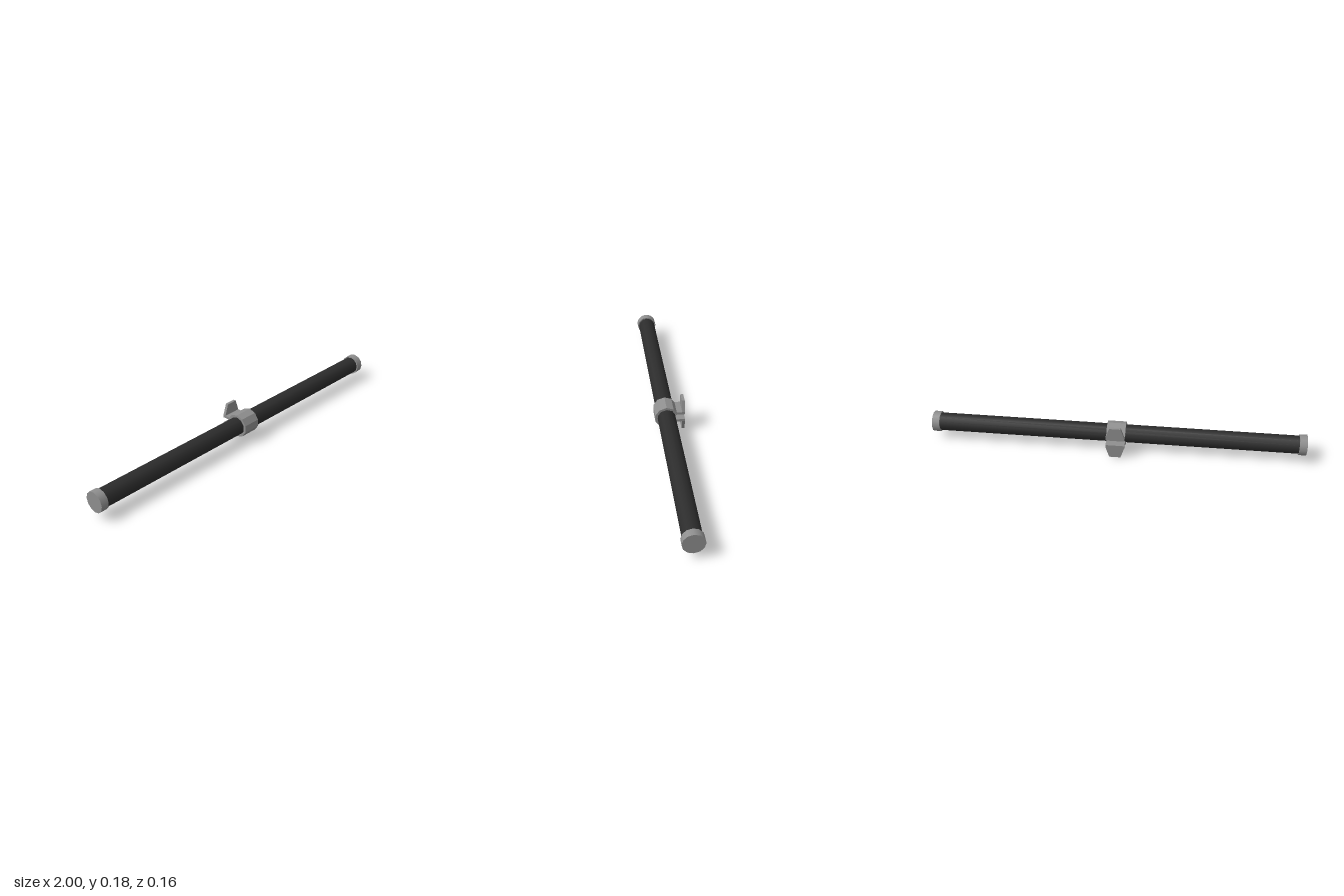
import * as THREE from 'three';

const AXIS_Y = 0.09, AXIS_Z = 0.019;

export function createModel() {
  const model = new THREE.Group();
  model.name = 'clampedTube';
  const black = new THREE.MeshStandardMaterial({ color: 0x2c2c2c });
  black.name = 'black';
  const grey = new THREE.MeshStandardMaterial({ color: 0x8f8f8f });
  grey.name = 'grey';

  const add = (name, geometry, material) => {
    const mesh = new THREE.Mesh(geometry, material);
    mesh.name = name;
    model.add(mesh);
    return mesh;
  };

  // Cylinder lying along x on the tube axis
  const rod = (radius, length, x) =>
    new THREE.CylinderGeometry(radius, radius, length, 12)
      .rotateZ(Math.PI / 2)
      .translate(x, AXIS_Y, AXIS_Z);

  add('tube', rod(0.048, 1.96, 0), black);
  add('leftEndCap', rod(0.055, 0.04, 0.98), grey);
  add('rightEndCap', rod(0.055, 0.04, -0.98), grey);

  // Ten-sided clamp ring, open at the back, with two flanges
  const arc = (radius, from, to, step) => {
    const points = [];
    for (let a = from; step > 0 ? a <= to : a >= to; a += step) {
      const t = THREE.MathUtils.degToRad(a);
      points.push(new THREE.Vector2(radius * Math.cos(t) - AXIS_Z, radius * Math.sin(t) + AXIS_Y));
    }
    return points;
  };
  const p = (u, v) => new THREE.Vector2(u, v);
  const profile = new THREE.Shape([
    p(0.064, 0.119), p(0.035, 0.119),
    ...arc(0.063, 54, 306, 36),
    p(0.035, 0.061), p(0.064, 0.061), p(0.064, 0.075),
    ...arc(0.05, 342, 18, -36),
    p(0.064, 0.105),
  ]);
  const ring = new THREE.ExtrudeGeometry(profile, { depth: 0.1, bevelEnabled: false });
  ring.translate(0, 0, -0.05).rotateY(Math.PI / 2);
  add('clampRing', ring, grey);

  // Tapered tabs standing up and down from the flanges
  for (const side of [1, -1]) {
    const y = (d) => AXIS_Y + side * d;
    const tabShape = new THREE.Shape([
      p(-0.05, y(0.015)), p(0.05, y(0.015)), p(0.05, y(0.029)),
      p(0.03, y(0.09)), p(-0.03, y(0.09)), p(-0.05, y(0.029)),
    ]);
    const tab = new THREE.ExtrudeGeometry(tabShape, { depth: 0.015, bevelEnabled: false });
    tab.translate(0, 0, -0.079);
    add(side > 0 ? 'upperTab' : 'lowerTab', tab, grey);
  }

  return model;
}
